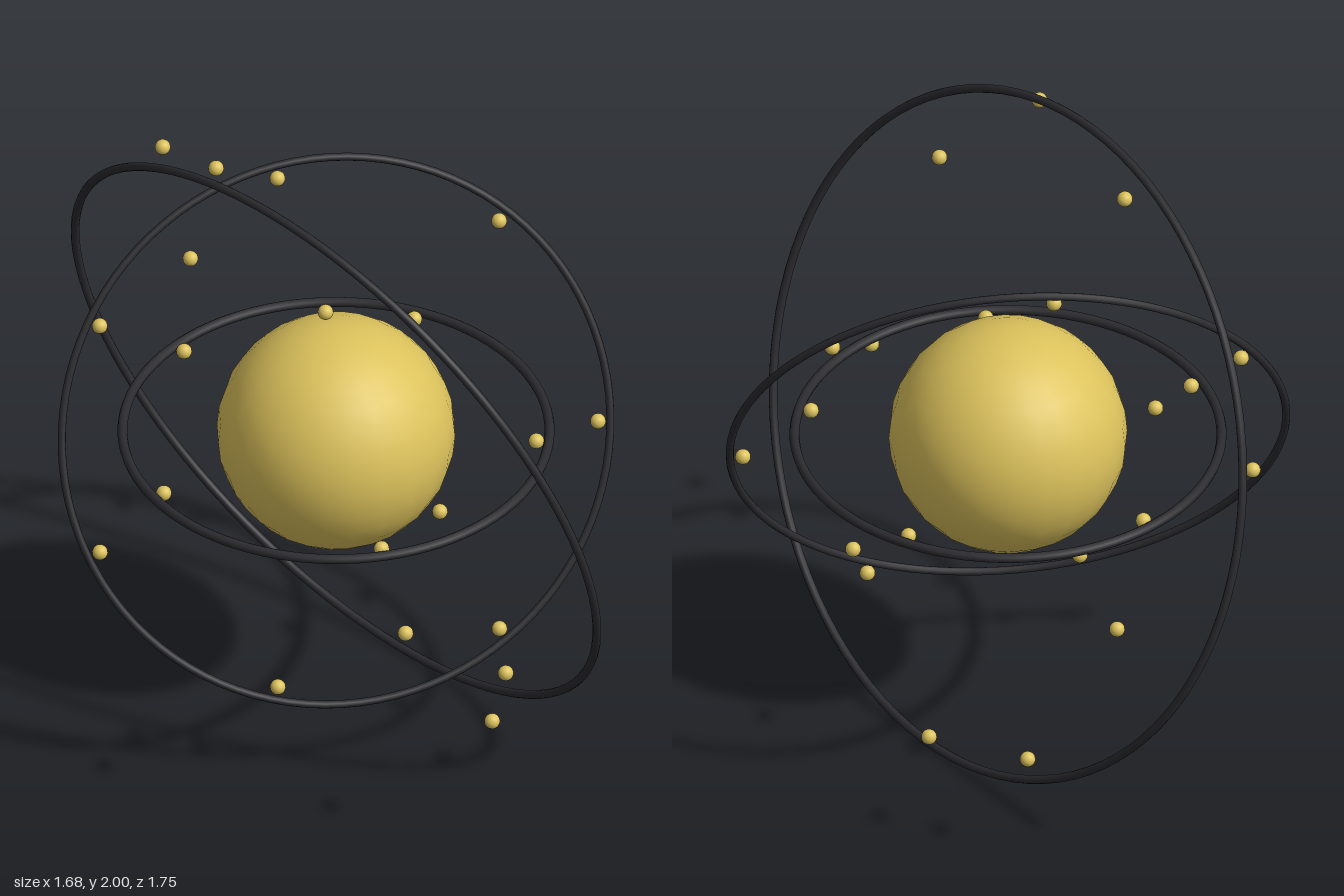
import * as THREE from 'three';

const gold = new THREE.MeshStandardMaterial({ color: 0xdcc25c });
const dark = new THREE.MeshStandardMaterial({ color: 0x2b2b2f });
const vec = (a) => new THREE.Vector3(...a);

// Each shell: ring radius, tube and plane normal; bead count, orbit radius, orbit normal and first bead direction
const shells = [
  { name: 'inner', ring: 0.634, tube: 0.015, normal: [0, 1, 0],
    count: 5, orbit: 0.597, axis: [0, 1, 0], start: [1, 0, 0] },
  { name: 'middle', ring: 0.829, tube: 0.012, normal: [0.262, 0.426, 0.866],
    count: 7, orbit: 0.79, axis: [0.25, 0.425, 0.87], start: [-0.2, 0.71, -0.29] },
  { name: 'outer', ring: 1.033, tube: 0.013, normal: [0.6, 0.296, -0.743],
    count: 9, orbit: 0.998, axis: [0.816, 0.3, -0.496], start: [-0.36, 0.93, -0.03] },
];

function addMesh(parent, name, geometry, material) {
  const mesh = new THREE.Mesh(geometry, material);
  mesh.name = name;
  parent.add(mesh);
  return mesh;
}

export function createModel() {
  const model = new THREE.Group();
  model.name = 'atom';

  // Everything turns around the nucleus, one unit above the ground
  const centre = new THREE.Group();
  centre.name = 'atomCentre';
  centre.position.y = 1;
  model.add(centre);

  addMesh(centre, 'nucleus', new THREE.SphereGeometry(0.355, 24, 16), gold);

  const electronGeometry = new THREE.SphereGeometry(0.0235, 16, 12);
  for (const s of shells) {
    const shell = new THREE.Group();
    shell.name = s.name + 'Shell';
    centre.add(shell);

    // Orbit ring, turned from the z axis to its own normal
    const ring = addMesh(shell, s.name + 'Ring', new THREE.TorusGeometry(s.ring, s.tube, 10, 96), dark);
    ring.quaternion.setFromUnitVectors(new THREE.Vector3(0, 0, 1), vec(s.normal).normalize());

    // Electrons evenly spaced around the orbit
    const axis = vec(s.axis).normalize();
    const start = vec(s.start).setLength(s.orbit);
    for (let i = 0; i < s.count; i++) {
      const electron = addMesh(shell, s.name + 'Electron', electronGeometry, gold);
      electron.position.copy(start).applyAxisAngle(axis, (i / s.count) * Math.PI * 2);
    }
  }
  return model;
}
